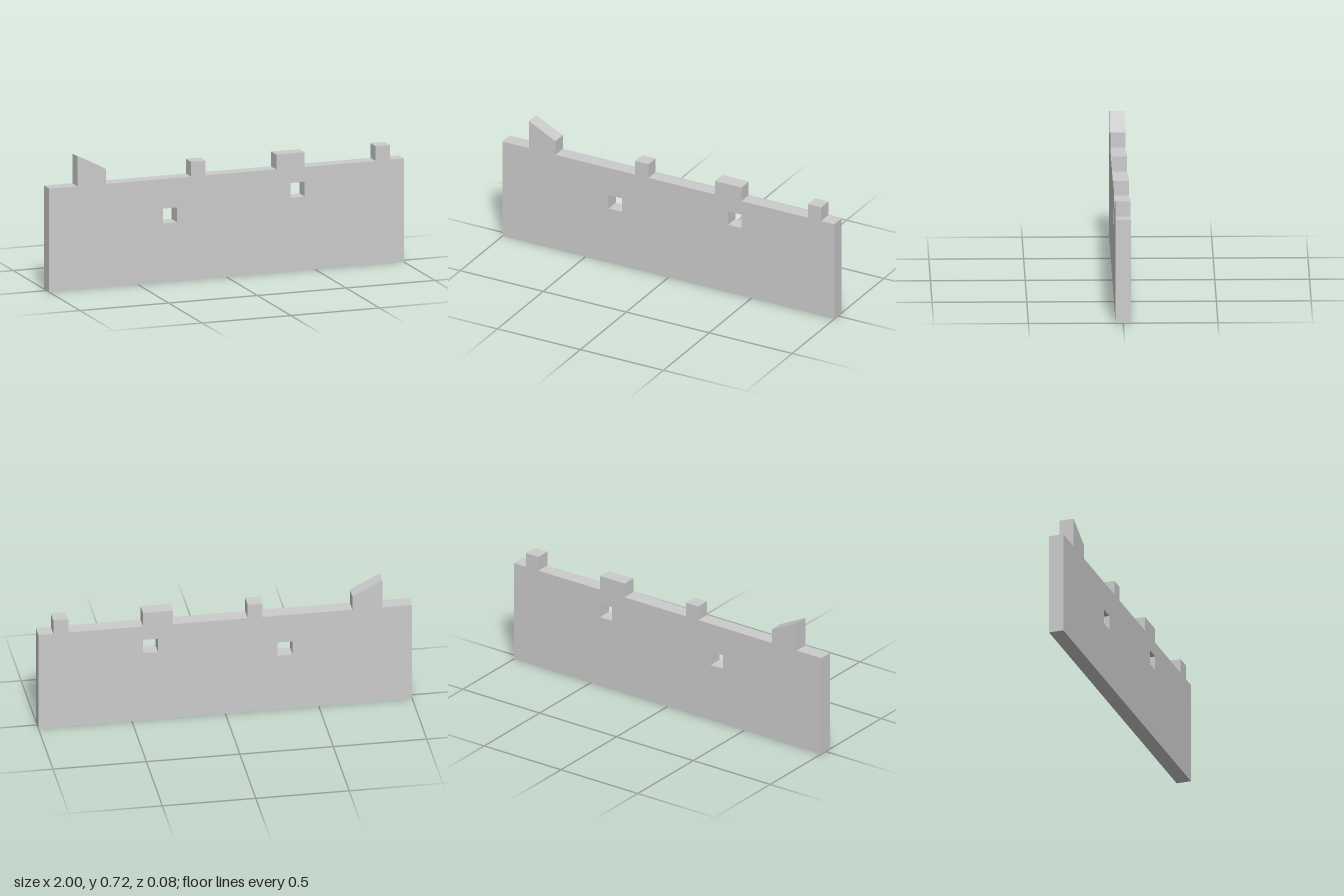
import * as THREE from 'three';

const DEPTH = 0.08;
const WALL_TOP = 0.56;

// Raised blocks along the wall top: [x start, x end, height at start, height at end]
const MERLONS = [
  [-0.84, -0.68, 0.72, 0.64], // broken, sloping block
  [-0.20, -0.12, 0.64, 0.64],
  [0.28, 0.44, 0.64, 0.64],
  [0.84, 0.92, 0.64, 0.64],
];

// Lower left corners of the square windows
const WINDOWS = [[-0.36, 0.32], [0.36, 0.40]];
const WINDOW_SIZE = 0.08;

export function createModel() {
  const group = new THREE.Group();
  group.name = 'ruinedWall';

  // Wall outline, with the merlons along its top edge
  const outline = new THREE.Shape();
  outline.moveTo(1, WALL_TOP);
  for (const [x0, x1, h0, h1] of [...MERLONS].reverse()) {
    outline.lineTo(x1, WALL_TOP);
    outline.lineTo(x1, h1);
    outline.lineTo(x0, h0);
    outline.lineTo(x0, WALL_TOP);
  }
  outline.lineTo(-1, WALL_TOP);
  outline.lineTo(-1, 0);
  outline.lineTo(1, 0);
  outline.closePath();

  // Windows cut right through
  for (const [x, y] of WINDOWS) {
    const hole = new THREE.Path();
    hole.moveTo(x, y);
    hole.lineTo(x, y + WINDOW_SIZE);
    hole.lineTo(x + WINDOW_SIZE, y + WINDOW_SIZE);
    hole.lineTo(x + WINDOW_SIZE, y);
    hole.closePath();
    outline.holes.push(hole);
  }

  const geometry = new THREE.ExtrudeGeometry(outline, { depth: DEPTH, bevelEnabled: false });
  geometry.translate(0, 0, -DEPTH / 2);

  const material = new THREE.MeshStandardMaterial({ color: 0xcccccc, flatShading: true });
  const wall = new THREE.Mesh(geometry, material);
  wall.name = 'battlementWall';
  group.add(wall);
  return group;
}
